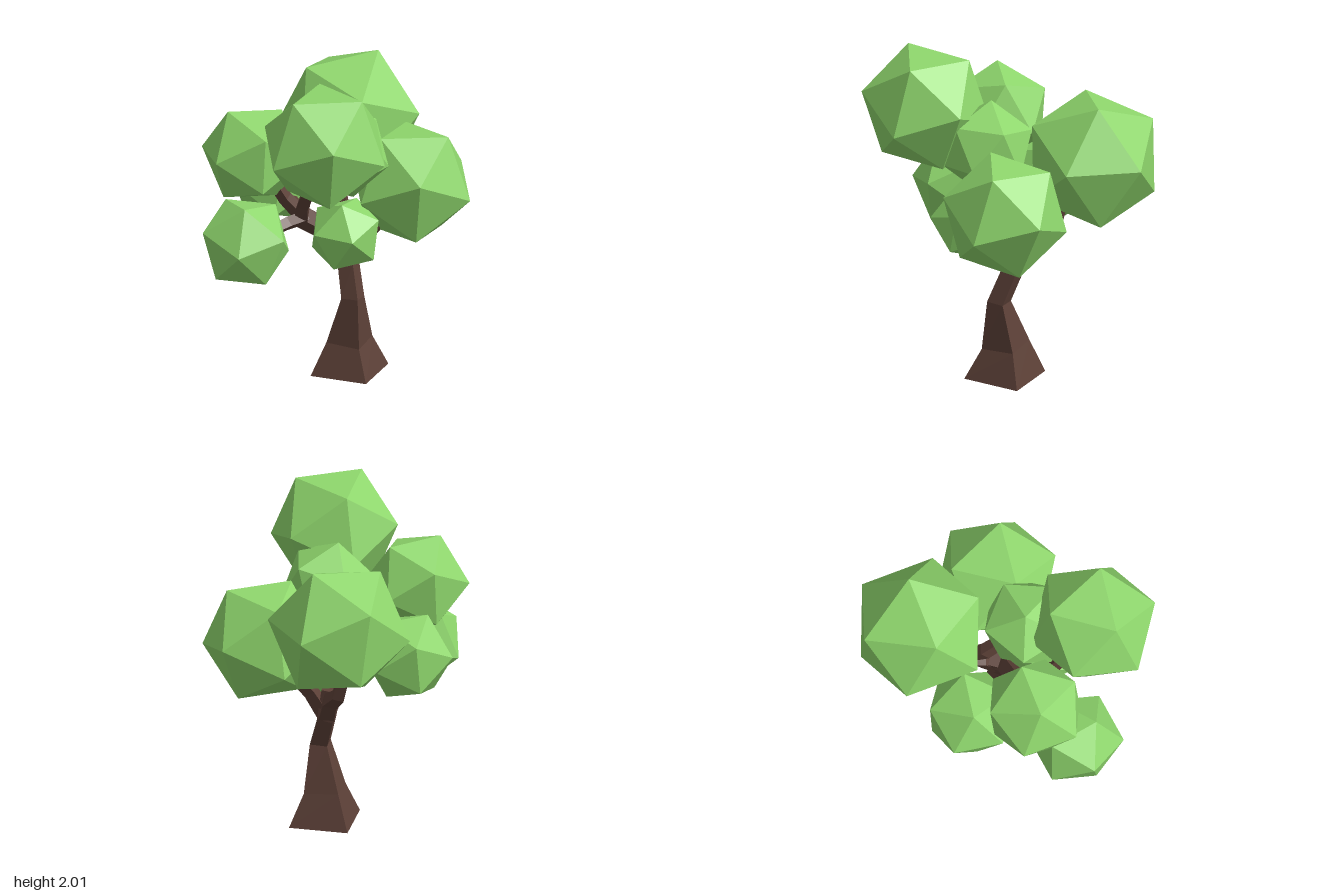
import * as THREE from 'three';

const V = (p) => new THREE.Vector3(...p);

// Four-sided limb: rings of corners along a path of [x, y, z, radius]
function limb(path) {
  const pts = path.map((p) => V(p));
  const pos = [], idx = [];
  const side = V([Math.sin(Math.PI / 12), 0, Math.cos(Math.PI / 12)]);
  let ref = side.clone();
  pts.forEach((p, i) => {
    const before = pts[Math.max(i - 1, 0)], after = pts[Math.min(i + 1, pts.length - 1)];
    const tan = after.clone().sub(before).normalize();
    const u = ref.clone().addScaledVector(tan, -ref.dot(tan)).normalize();
    const w = tan.clone().cross(u);
    ref = u;
    for (let k = 0; k < 4; k++) {
      const a = (k * Math.PI) / 2;
      const c = p.clone()
        .addScaledVector(u, Math.cos(a) * path[i][3])
        .addScaledVector(w, Math.sin(a) * path[i][3]);
      pos.push(c.x, c.y, c.z);
    }
  });
  for (let i = 0; i < pts.length - 1; i++) {
    for (let k = 0; k < 4; k++) {
      const a = i * 4 + k, b = i * 4 + ((k + 1) % 4);
      idx.push(a, b, b + 4, a, b + 4, a + 4);
    }
  }
  const e = (pts.length - 1) * 4;
  idx.push(0, 2, 1, 0, 3, 2, e, e + 1, e + 2, e, e + 2, e + 3);
  const g = new THREE.BufferGeometry();
  g.setAttribute('position', new THREE.Float32BufferAttribute(pos, 3));
  g.setIndex(idx);
  const flat = g.toNonIndexed();
  flat.computeVertexNormals();
  return flat;
}

// Icosahedron turned so two neighbouring corners point along a and b
function clump(radius, a, b) {
  const va = V(a).normalize(), vb = V(b).normalize();
  const x = vb.clone().sub(va).normalize();
  const y = vb.clone().add(va).normalize();
  const z = x.clone().cross(y);
  return new THREE.IcosahedronGeometry(radius, 0)
    .applyMatrix4(new THREE.Matrix4().makeBasis(x, y, z));
}

export function createModel() {
  const tree = new THREE.Group();
  tree.name = 'tree';
  const bark = new THREE.MeshStandardMaterial({ color: 0x5c4037, flatShading: true });
  const leaf = new THREE.MeshStandardMaterial({ color: 0x8ed66c, flatShading: true });

  // Trunk and branches
  const limbs = {
    trunk: [[0.115, 0, 0.025, 0.254], [0.115, 0.2, 0.02, 0.15], [0.13, 0.49, 0.06, 0.075],
      [0.115, 0.68, -0.02, 0.07], [0.09, 0.87, -0.04, 0.075]],
    backBranch: [[0.115, 0.7, -0.03, 0.065], [0.13, 0.83, -0.14, 0.06], [0.12, 0.91, -0.26, 0.05],
      [0.09, 1.12, -0.32, 0.045], [0.14, 1.35, -0.42, 0.04]],
    leftBranch: [[0.12, 0.7, -0.02, 0.06], [0.21, 0.85, 0, 0.05], [0.42, 1.1, 0.03, 0.04]],
    rightBranch: [[0.11, 0.72, -0.03, 0.065], [0.03, 0.88, 0, 0.065], [-0.18, 1.03, 0.05, 0.07],
      [-0.18, 1.15, 0.14, 0.05], [-0.13, 1.48, 0.42, 0.045]],
    upperRightTwig: [[-0.16, 1.02, 0.05, 0.05], [-0.28, 1.16, 0.05, 0.045], [-0.4, 1.36, 0.05, 0.035]],
    lowerRightTwig: [[-0.16, 1.03, 0.06, 0.045], [-0.28, 1.03, 0.14, 0.045], [-0.46, 1.0, 0.25, 0.035]],
    rearRightTwig: [[-0.16, 1.03, 0.05, 0.04], [-0.22, 1.08, -0.1, 0.04], [-0.29, 1.12, -0.25, 0.03]],
    frontTwig: [[0.08, 0.8, -0.02, 0.045], [0.06, 0.9, 0.08, 0.04], [0.06, 0.97, 0.2, 0.03]],
    middleTwig: [[0.1, 1.05, -0.3, 0.045], [0.03, 1.23, -0.14, 0.05], [0.05, 1.38, 0.06, 0.04]],
  };
  for (const [name, path] of Object.entries(limbs)) {
    const mesh = new THREE.Mesh(limb(path), bark);
    mesh.name = name;
    tree.add(mesh);
  }

  // Foliage: name, centre, radius, directions of two neighbouring corners
  const foliage = [
    ['topFrontFoliage', [-0.1, 1.675, 0.495], 0.398, [0, 0.1, 0.385], [-0.205, 0.325, 0.095]],
    ['backFoliage', [0.195, 1.445, -0.505], 0.434, [0.175, 0.395, -0.025], [0.395, 0.055, 0.175]],
    ['leftFoliage', [0.488, 1.21, 0.035], 0.39, [0.332, -0.06, 0.2], [0.332, 0.04, -0.2]],
    ['lowerRightFoliage', [-0.55, 0.985, 0.28], 0.29, [-0.08, 0.005, 0.28], [-0.27, 0.095, 0.05]],
    ['upperRightFoliage', [-0.475, 1.46, 0.045], 0.32, [-0.135, 0.28, 0], [0.165, 0.26, -0.035]],
    ['middleFoliage', [0.06, 1.47, 0.13], 0.29, [-0.05, 0.28, -0.03], [0.2, 0.17, -0.09]],
    ['frontFoliage', [0.06, 0.985, 0.24], 0.235, [0.01, 0.035, 0.23], [-0.03, 0.215, 0.08]],
    ['rearRightFoliage', [-0.3, 1.14, -0.31], 0.285, [-0.12, 0.25, -0.01], [0.16, 0.22, 0]],
  ];
  for (const [name, centre, radius, a, b] of foliage) {
    const mesh = new THREE.Mesh(clump(radius, a, b), leaf);
    mesh.name = name;
    mesh.position.set(...centre);
    tree.add(mesh);
  }
  return tree;
}
